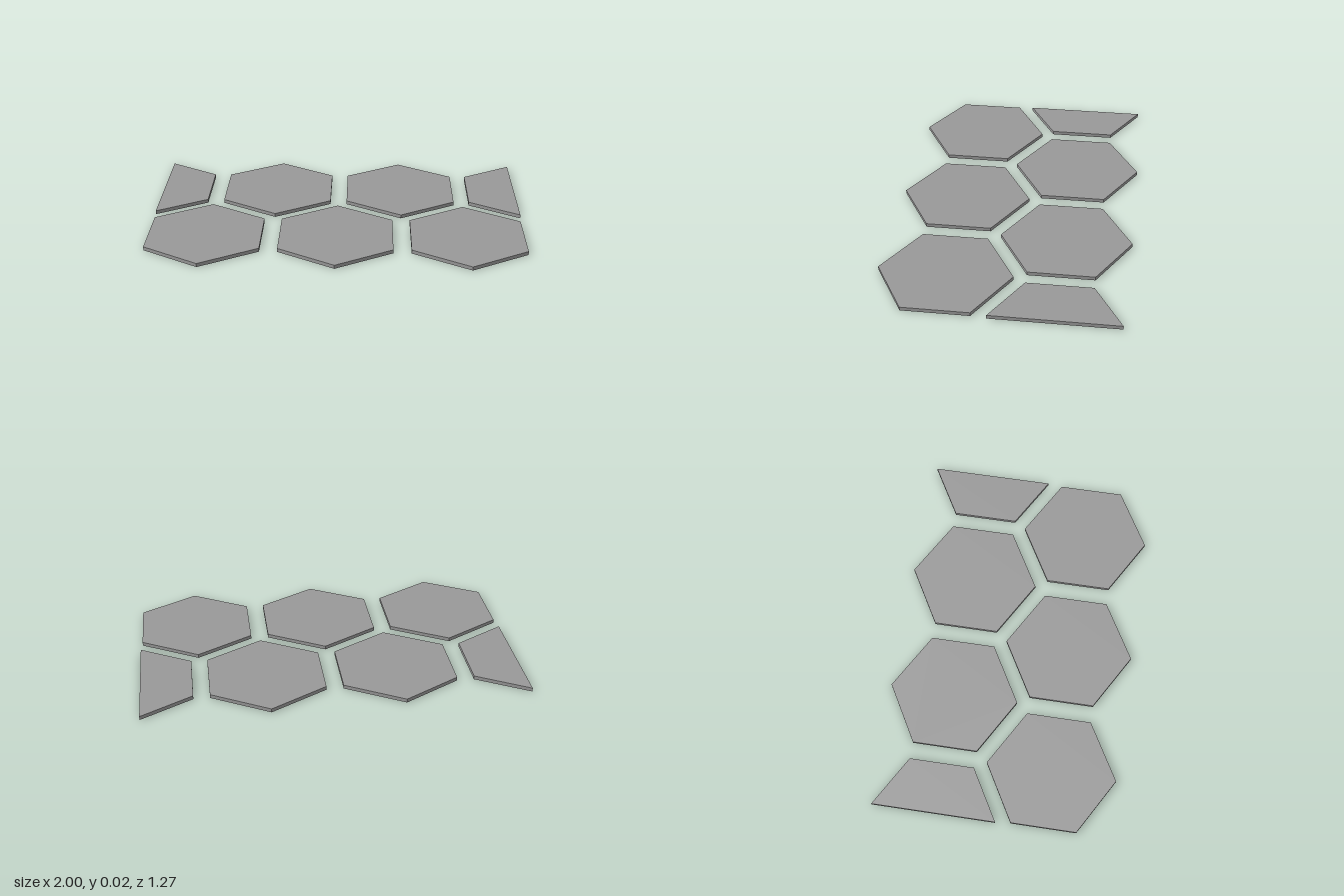
import * as THREE from 'three';

const HEIGHT = 0.02;
const RADIUS = 0.345;
const HALF_WIDTH = 0.299;
const PITCH = 0.692;
const ROW_Z = 0.29;

// Flat slab standing on y = 0, extruded from an outline in the ground plane
function slab(points) {
  const shape = new THREE.Shape(points.map(([x, z]) => new THREE.Vector2(x, z)));
  const geometry = new THREE.ExtrudeGeometry(shape, { depth: HEIGHT, bevelEnabled: false });
  return geometry.rotateX(-Math.PI / 2);
}

export function createModel() {
  const model = new THREE.Group();
  model.name = 'hexagonPaving';
  const material = new THREE.MeshStandardMaterial({ color: 0x999999, flatShading: true });

  const add = (name, geometry, x, z) => {
    const mesh = new THREE.Mesh(geometry, material);
    mesh.name = name;
    mesh.position.set(x, 0, z);
    model.add(mesh);
  };

  // Whole hexagons, points facing front and back
  const h = RADIUS / 2;
  const hexagon = slab([
    [0, -RADIUS], [HALF_WIDTH, -h], [HALF_WIDTH, h],
    [0, RADIUS], [-HALF_WIDTH, h], [-HALF_WIDTH, -h],
  ]);
  for (const x of [-PITCH, 0, PITCH]) add('frontRowTile', hexagon, x, ROW_Z);
  for (const x of [-0.341, 0.347]) add('backRowTile', hexagon, x, -ROW_Z);

  // Hexagons cut off at the outer edge of the back row
  for (const side of [-1, 1]) {
    const inner = side * 0.731;
    const cut = slab([[inner, -h], [side, -0.328], [side, 0.328], [inner, h]]);
    add(side > 0 ? 'leftCutTile' : 'rightCutTile', cut, 0, -ROW_Z);
  }

  return model;
}
